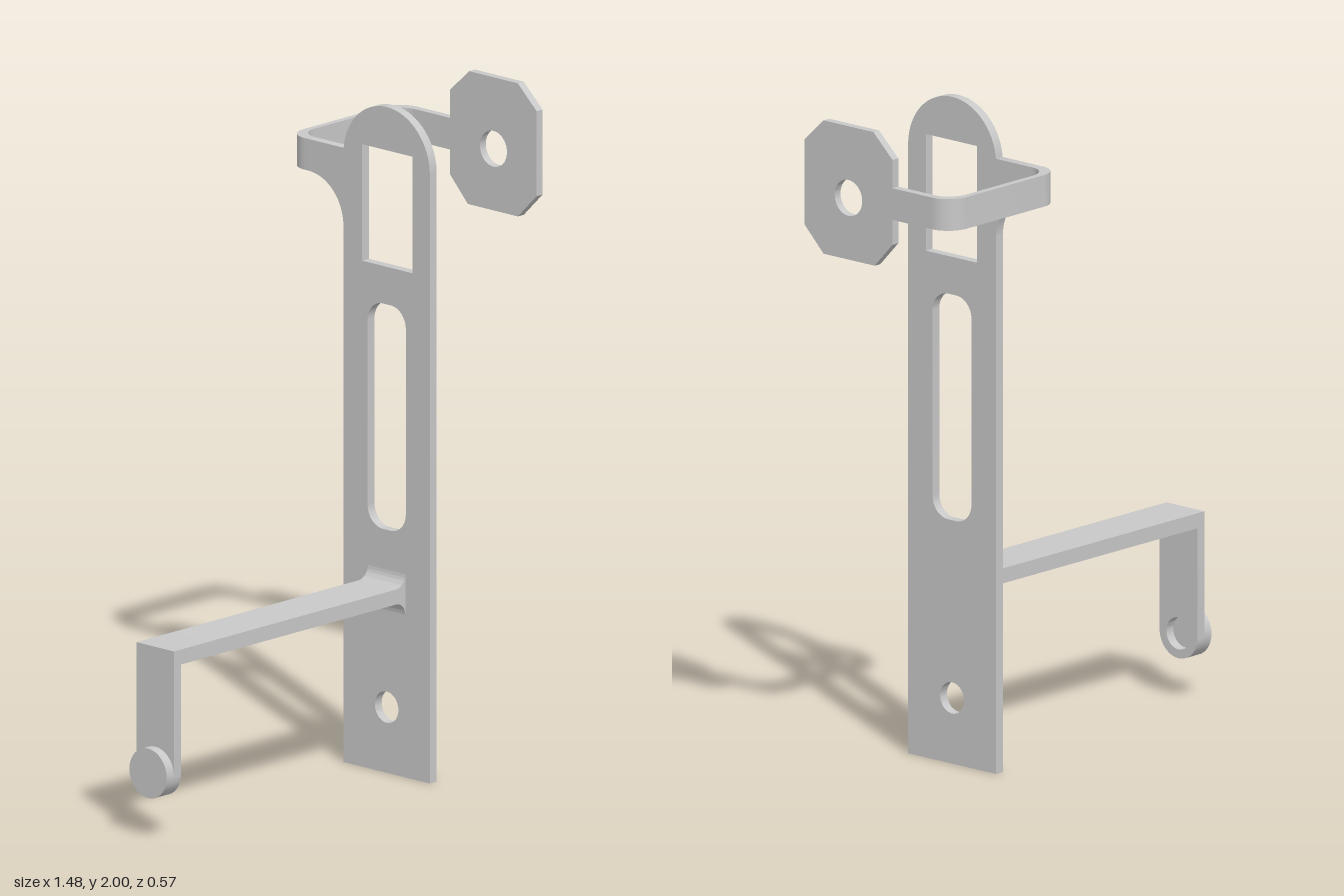
import * as THREE from 'three';
import { toCreasedNormals } from 'three/addons/utils/BufferGeometryUtils.js';

const PI = Math.PI;
const MID = 0.1125; // z of the plate's centre line
const HALF = 0.0745; // half width of the arm and radius of its foot

// Outlines run counter-clockwise, holes clockwise
function circleHole(x, y, r) {
  return new THREE.Path().absarc(x, y, r, 0, PI * 2, true);
}

function rectHole(x0, x1, y0, y1) {
  return new THREE.Path().moveTo(x0, y0).lineTo(x0, y1).lineTo(x1, y1).lineTo(x1, y0).closePath();
}

function slotHole(x0, x1, y0, y1, r) {
  const p = new THREE.Path();
  p.absarc(x0 + r, y0 + r, r, -PI / 2, -PI, true);
  p.absarc(x0 + r, y1 - r, r, PI, PI / 2, true);
  p.absarc(x1 - r, y1 - r, r, PI / 2, 0, true);
  p.absarc(x1 - r, y0 + r, r, 0, -PI / 2, true);
  return p.closePath();
}

function extrude(shape, depth) {
  return new THREE.ExtrudeGeometry(shape, { depth, bevelEnabled: false, curveSegments: 20 });
}

// Extrudes a (z, y) outline across x0..x1
function sheetX(shape, x0, x1) {
  return extrude(shape, x1 - x0).rotateY(-PI / 2).translate(x1, 0, 0);
}

export function createModel() {
  const group = new THREE.Group();
  const steel = new THREE.MeshStandardMaterial({ color: 0xc8c8c8 });
  steel.name = 'grey steel';

  function add(name, geometry) {
    const mesh = new THREE.Mesh(toCreasedNormals(geometry, 0.5), steel);
    mesh.name = name;
    group.add(mesh);
  }

  // Upright plate with rounded top and a filleted ear where the strap begins
  const plate = new THREE.Shape();
  plate.moveTo(-0.06, 0).lineTo(0.285, 0);
  plate.absarc(MID, 1.8275, 0.1725, 0, PI - 0.1, false);
  plate.lineTo(-0.06, 1.845).lineTo(-0.2, 1.845);
  plate.absarc(-0.2, 1.61, 0.14, PI / 2, 0, true);
  plate.closePath();
  plate.holes.push(
    rectHole(0.015, 0.215, 1.52, 1.87),
    slotHole(0.037, 0.189, 0.73, 1.407, 0.06),
    circleHole(MID, 0.197, 0.047)
  );
  add('uprightPlate', sheetX(plate, 0.265, 0.294));

  // U-shaped strap bent round the back, drawn in (x, -z)
  const strap = new THREE.Shape();
  strap.moveTo(0.715, 0.06).lineTo(0.74, 0.06);
  strap.absarc(0.67, 0.215, 0.07, 0, PI / 2, false);
  strap.absarc(0.335, 0.215, 0.07, PI / 2, PI, false);
  strap.lineTo(0.265, 0.2).lineTo(0.294, 0.2);
  strap.absarc(0.359, 0.2, 0.065, PI, PI / 2, true);
  strap.absarc(0.65, 0.2, 0.065, PI / 2, 0, true);
  strap.closePath();
  add('bentStrap', extrude(strap, 0.095).rotateX(-PI / 2).translate(0, 1.75, 0));

  // Eight-sided end tab
  const tab = new THREE.Shape();
  tab.moveTo(0.01, 1.6).lineTo(0.21, 1.6).lineTo(0.285, 1.675).lineTo(0.285, 1.93);
  tab.lineTo(0.21, 2).lineTo(0.015, 2).lineTo(-0.06, 1.93).lineTo(-0.06, 1.675).closePath();
  tab.holes.push(circleHole(MID, 1.785, 0.054));
  add('endTab', sheetX(tab, 0.715, 0.74));

  // Side arm with fillets at the plate
  const arm = new THREE.Shape();
  arm.moveTo(-0.71, 0.527).lineTo(0.225, 0.527);
  arm.absarc(0.225, 0.487, 0.04, PI / 2, 0, true);
  arm.lineTo(0.265, 0.612);
  arm.absarc(0.225, 0.612, 0.04, 0, -PI / 2, true);
  arm.lineTo(-0.71, 0.572).closePath();
  add('sideArm', extrude(arm, HALF * 2).translate(0, 0, MID - HALF));

  // Leg hanging from the arm, with a round drilled foot
  const leg = new THREE.Shape();
  leg.moveTo(MID + HALF, 0.527).lineTo(MID - HALF, 0.527);
  leg.absarc(MID, 0.198, HALF, PI, PI * 2, false);
  leg.closePath();
  leg.holes.push(circleHole(MID, 0.198, 0.048));
  add('armLeg', sheetX(leg, -0.71, -0.68));

  // Solid disc closing the foot from outside
  const disc = new THREE.CylinderGeometry(HALF, HALF, 0.03, 40);
  add('footDisc', disc.rotateZ(PI / 2).translate(-0.725, 0.198, MID));

  return group;
}
